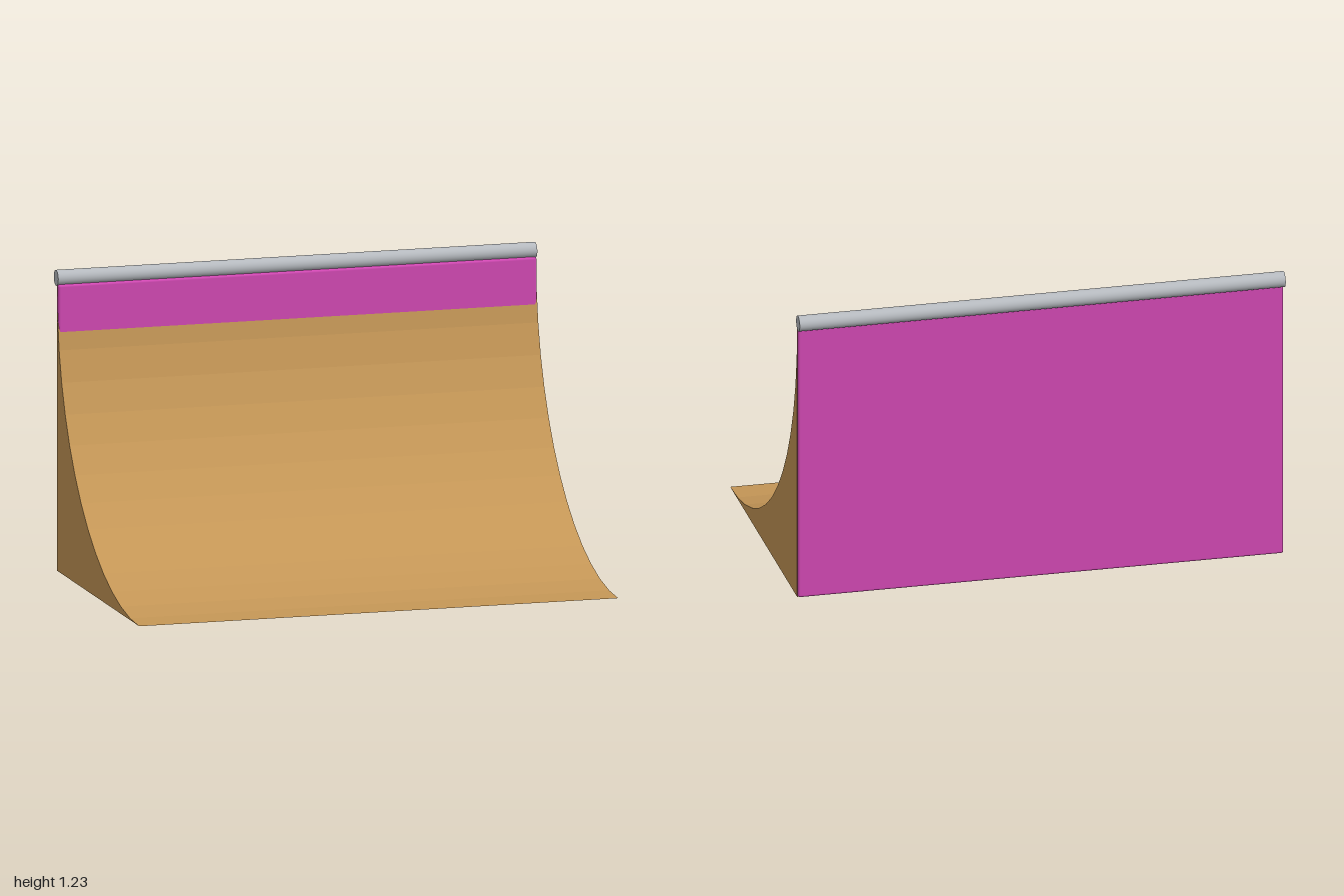
import * as THREE from 'three';
import { RoundedBoxGeometry } from 'three/addons/geometries/RoundedBoxGeometry.js';

function makeMaterial(name, color) {
  const material = new THREE.MeshStandardMaterial({ color });
  material.name = name;
  return material;
}

export function createModel() {
  const wood = makeMaterial('wood', 0xc49656);
  const magenta = makeMaterial('magenta', 0xd048b2);
  const steel = makeMaterial('steel', 0xb6babf);

  const group = new THREE.Group();
  group.name = 'quarterPipe';
  const add = (name, geometry, material) => {
    const mesh = new THREE.Mesh(geometry, material);
    mesh.name = name;
    group.add(mesh);
    return mesh;
  };

  // Solid ramp: a faceted quarter-circle curve, extruded across the width
  const radius = 1.165, toe = 0.605, steps = 14;
  const profile = new THREE.Shape();
  profile.moveTo(toe - radius, 0);
  for (let i = 0; i <= steps; i++) {
    const a = (i / steps) * Math.PI / 2;
    profile.lineTo(toe - radius * Math.sin(a), radius * (1 - Math.cos(a)));
  }
  profile.closePath();
  const rampGeometry = new THREE.ExtrudeGeometry(profile, { depth: 2, bevelEnabled: false });
  rampGeometry.translate(0, 0, -1).rotateY(-Math.PI / 2);
  add('ramp', rampGeometry, wood);

  // Upright back panel with softened edges
  const panel = add('backPanel', new RoundedBoxGeometry(1.998, 1.17, 0.03, 3, 0.01), magenta);
  panel.position.set(0, 0.585, -0.558);

  // Round coping rail along the top
  const rail = add('copingRail', new THREE.CylinderGeometry(0.032, 0.032, 2, 32), steel);
  rail.rotation.z = Math.PI / 2;
  rail.position.set(0, 1.194, -0.575);

  return group;
}
